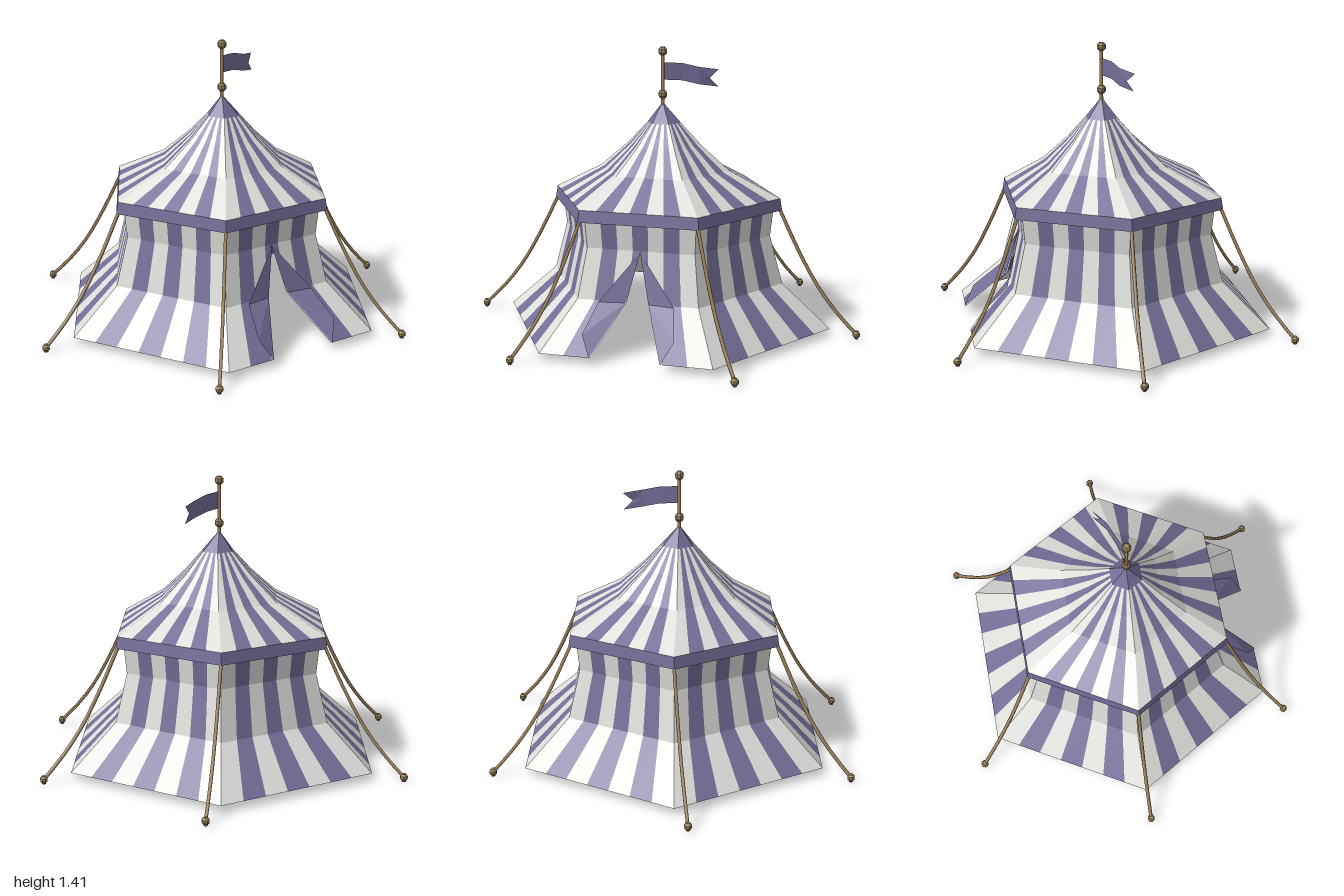
import * as THREE from 'three';

const cloth = (color) => new THREE.MeshStandardMaterial({ color, side: THREE.DoubleSide });

export function createModel() {
  const purple = cloth(0x746e97); purple.name = 'purple cloth';
  const white = cloth(0xdededb); white.name = 'white cloth';
  const wood = new THREE.MeshStandardMaterial({ color: 0x9a8159 }); wood.name = 'wood and rope';

  const model = new THREE.Group();
  model.name = 'tent';
  const CX = 0.008, PZ = 0.04;

  const add = (name, geometry, material, parent = model) => {
    const mesh = new THREE.Mesh(geometry, material);
    mesh.name = name;
    parent.add(mesh);
    return mesh;
  };
  // flat-shaded geometry from a list of quads, each with four corner vectors
  const quads = (list) => {
    const pts = [];
    for (const [a, b, c, d] of list) pts.push(a, b, c, a, c, d);
    const g = new THREE.BufferGeometry().setFromPoints(pts);
    g.computeVertexNormals();
    return g;
  };
  const V = (x, y, z) => new THREE.Vector3(x, y, z);

  // hexagon corner k, and the point at fraction t along side k, of a ring [y, radius, z shift]
  const corner = ([y, r, dz = 0], k) =>
    V(CX * (r > 0 ? 1 : 0) + r * Math.cos(k * Math.PI / 3), y, dz + r * Math.sin(k * Math.PI / 3));
  const along = (ring, k, t) => corner(ring, k).lerp(corner(ring, k + 1), t);

  // six striped sides; gaps gives the half width of the front opening at each ring
  const striped = (name, rings, gaps) => {
    const lists = [[], []];
    for (let k = 0; k < 6; k++) {
      const gap = k === 1 ? gaps : null;
      for (let i = 0; i < rings.length - 1; i++) {
        for (let s = 0; s < 7; s++) {
          const cell = (lo, hi, limit) => {
            const row = [i, i + 1].map((j) => [limit(lo, j), limit(hi, j)]);
            lists[s % 2].push([
              along(rings[i], k, row[0][0]), along(rings[i], k, row[0][1]),
              along(rings[i + 1], k, row[1][1]), along(rings[i + 1], k, row[1][0])]);
          };
          const a = s / 7, b = (s + 1) / 7;
          if (!gap) cell(a, b, (t) => t);
          else {
            if (a < 0.5) cell(a, Math.min(b, 0.5), (t, j) => Math.min(t, 0.5 - gap[j]));
            if (b > 0.5) cell(Math.max(a, 0.5), b, (t, j) => Math.max(t, 0.5 + gap[j]));
          }
        }
      }
    }
    // drop cells swallowed by the opening
    const area = (q) => V(0, 0, 0).subVectors(q[2], q[0]).cross(V(0, 0, 0).subVectors(q[3], q[1])).length();
    lists.forEach((l, n) => add(name + (n ? 'PurpleStripes' : 'WhiteStripes'),
      quads(l.filter((q) => area(q) > 1e-6)), n ? purple : white));
  };

  // walls and roof
  const wall = [[0.67, 0.55], [0.49, 0.53], [0.25, 0.595], [0.035, 0.838]];
  striped('wall', wall, [0, 0, 0.09, 0.2]);
  const roof = [[1.04, 0.085, PZ], [0.93, 0.19, 0.035], [0.81, 0.33, 0.028], [0.68, 0.578]];
  striped('roof', roof, null);

  // plain cap at the peak and the eave band
  const ringSides = (upper, lower) => Array.from({ length: 6 }, (_, k) =>
    [corner(upper, k), corner(upper, k + 1), corner(lower, k + 1), corner(lower, k)]);
  add('roofCap', quads(ringSides([1.14, 0, PZ], roof[0])), purple);
  add('eaveBand', quads([
    ...ringSides([0.68, 0.578], [0.622, 0.588]),
    ...ringSides([0.622, 0.588], [0.622, 0.57])]), purple);

  // door flaps folded back on both sides of the opening
  const wallZ = (y) => {
    const i = y > 0.25 ? 1 : 2, [y0, r0] = wall[i], [y1, r1] = wall[i + 1];
    return 0.866 * (r0 + (r1 - r0) * (y - y0) / (y1 - y0));
  };
  for (const side of [-1, 1]) {
    const P = (x, y, out) => V(CX + side * x, y, wallZ(y) + out);
    const top = P(0, 0.485, 0.004), hinge = P(0.056, 0.25, 0.006);
    const fold = P(0.185, 0.25, 0.025), tip = P(0.222, 0.13, 0.045), foot = P(0.172, 0.035, 0.006);
    const faces = [[top, fold, hinge, hinge], [hinge, fold, tip, foot]];
    add(side < 0 ? 'rightFlap' : 'leftFlap',
      quads(side < 0 ? faces : faces.map((f) => [f[0], f[3], f[2], f[1]])), purple);
  }

  // centre pole with two knobs
  const pole = new THREE.Group();
  pole.name = 'centrePole';
  pole.position.z = PZ;
  model.add(pole);
  add('poleShaft', new THREE.CylinderGeometry(0.009, 0.009, 1.355, 8), wood, pole).position.y = 0.7125;
  const knob = [[0, -0.02], [0.013, -0.02], [0.022, -0.009], [0.022, 0.009], [0.013, 0.02], [0, 0.02]]
    .map(([x, y]) => new THREE.Vector2(x, y));
  const knobShape = new THREE.LatheGeometry(knob, 8).toNonIndexed();
  knobShape.computeVertexNormals();
  add('lowerKnob', knobShape, wood, pole).position.y = 1.178;
  add('topKnob', knobShape, wood, pole).position.y = 1.39;

  // waving swallow-tailed flag
  const upper = [V(0.005, 1.335, PZ), V(0.09, 1.33, 0.005), V(0.17, 1.31, -0.02), V(0.252, 1.295, -0.078)];
  const lower = [V(0.005, 1.25, PZ), V(0.09, 1.245, 0.005), V(0.17, 1.225, -0.02), V(0.252, 1.21, -0.073)];
  const notch = V(0.215, 1.255, -0.045), mid = V(0.17, 1.267, -0.02);
  add('flag', quads([
    ...[0, 1].map((i) => [upper[i], lower[i], lower[i + 1], upper[i + 1]]),
    [upper[2], mid, notch, upper[3]],
    [mid, lower[2], lower[3], notch]]), purple);

  // guy ropes and ground stakes
  const ends = [[0.98, 0.015], [0.547, 0.813], [-0.522, 0.813], [-0.98, 0], [-0.535, -0.815], [0.555, -0.815]];
  ends.forEach(([x, z], k) => {
    const start = corner([0.635, 0.572], k), end = V(x, 0.022, z);
    const sag = (t, y) => start.clone().lerp(end, t).setY(y);
    const path = new THREE.CatmullRomCurve3([start, sag(0.25, 0.43), sag(0.5, 0.255), sag(0.75, 0.125), end]);
    add('guyRope', new THREE.TubeGeometry(path, 10, 0.009, 6), wood);
    const stake = new THREE.Group();
    stake.name = 'stake';
    stake.position.set(x, 0, z);
    model.add(stake);
    add('stakeBody', new THREE.CylinderGeometry(0.01, 0.01, 0.04, 6), wood, stake).position.y = 0.02;
    add('stakeKnob', knobShape, wood, stake).position.y = 0.022;
    stake.children[1].scale.set(0.85, 0.8, 0.85);
  });
  return model;
}
